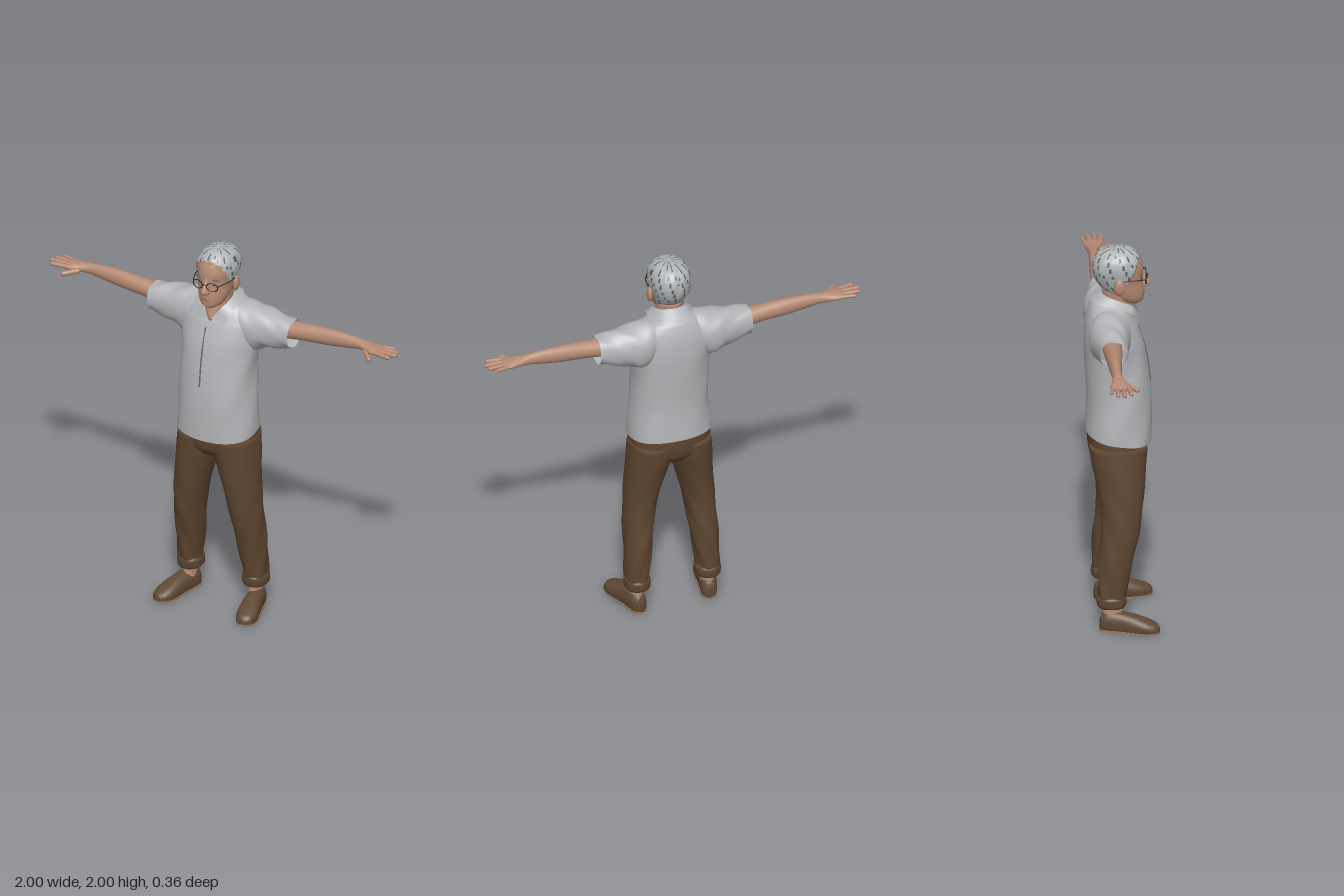
import * as THREE from 'three';

const V = (x, y, z) => new THREE.Vector3(x, y, z);
const paint = (name, color, side = THREE.FrontSide) => {
  const m = new THREE.MeshStandardMaterial({ color, side });
  m.name = name;
  return m;
};

// Axis order: lengthwise, first cross direction, second cross direction
const AXES = { y: [1, 0, 2], x: [0, 2, 1], z: [2, 1, 0] };

// Smooth skin through rows [t, aMin, aMax, bMin, bMax], t ascending.
// power < 1 squares the section; shape(p, angle) may move a point; pick(centre) chooses a material group.
function loft(axis, rows, { seg = 32, sub = 4, power = 1, caps = true, shape, pick } = {}) {
  const [T, A, B] = AXES[axis], pos = [], groups = [[], [], []];
  const at = i => rows[Math.max(0, Math.min(rows.length - 1, i))];
  const round = v => Math.sign(v) * Math.pow(Math.abs(v), power);
  const n = (rows.length - 1) * sub;
  for (let k = 0; k <= n; k++) {
    const i = Math.min(Math.floor(k / sub), rows.length - 2), f = k / sub - i;
    const r = at(i).map((p1, j) => {
      const p2 = at(i + 1)[j], m1 = (p2 - at(i - 1)[j]) / 2, m2 = (at(i + 2)[j] - p1) / 2;
      if (j === 0) return p1 + (p2 - p1) * f;
      const f2 = f * f, f3 = f2 * f;
      return (2 * f3 - 3 * f2 + 1) * p1 + (f3 - 2 * f2 + f) * m1 + (3 * f2 - 2 * f3) * p2 + (f3 - f2) * m2;
    });
    for (let s = 0; s < seg; s++) {
      const a = s / seg * Math.PI * 2, p = [0, 0, 0];
      p[T] = r[0];
      p[A] = (r[1] + r[2]) / 2 + (r[2] - r[1]) / 2 * round(Math.cos(a));
      p[B] = (r[3] + r[4]) / 2 + (r[4] - r[3]) / 2 * round(Math.sin(a));
      if (shape) shape(p, a);
      pos.push(...p);
    }
  }
  for (let k = 0; k < n; k++) for (let s = 0; s < seg; s++) {
    const a = k * seg + s, b = k * seg + (s + 1) % seg, c = a + seg, d = b + seg;
    const mid = [0, 1, 2].map(j => (pos[a * 3 + j] + pos[d * 3 + j]) / 2);
    groups[pick ? pick(mid, s) : 0].push(a, c, b, b, c, d);
  }
  if (caps) for (const k of [0, n]) {
    const c = pos.length / 3, mid = [0, 0, 0];
    for (let s = 0; s < seg; s++) for (let j = 0; j < 3; j++) mid[j] += pos[(k * seg + s) * 3 + j] / seg;
    pos.push(...mid);
    for (let s = 0; s < seg; s++) {
      const a = k * seg + s, b = k * seg + (s + 1) % seg;
      groups[k && pick ? 1 : 0].push(...(k ? [c, b, a] : [c, a, b]));
    }
  }
  const g = new THREE.BufferGeometry();
  g.setAttribute('position', new THREE.Float32BufferAttribute(pos, 3));
  g.setIndex(groups.flat());
  if (pick) groups.reduce((start, list, m) => (g.addGroup(start, list.length, m), start + list.length), 0);
  g.computeVertexNormals();
  return g;
}

function mirrored(geo) {
  const g = geo.clone().scale(-1, 1, 1), ix = g.index;
  for (let i = 0; i < ix.count; i += 3) {
    const a = ix.getX(i);
    ix.setX(i, ix.getX(i + 1));
    ix.setX(i + 1, a);
  }
  return g;
}

const sym = rows => rows.map(([y, w, back, front]) => [y, -w, w, back, front]);
const ball = (x, y, z, sx, sy, sz) => new THREE.SphereGeometry(1, 20, 14).scale(sx, sy, sz).translate(x, y, z);
const tube = (pts, r, n = 20) => new THREE.TubeGeometry(new THREE.CatmullRomCurve3(pts), n, r, 6);
function finger(a, b, r) {
  const d = b.clone().sub(a);
  const g = new THREE.CapsuleGeometry(r, d.length() - r, 4, 10);
  g.applyQuaternion(new THREE.Quaternion().setFromUnitVectors(V(0, 1, 0), d.normalize()));
  return g.translate((a.x + b.x) / 2, (a.y + b.y) / 2, (a.z + b.z) / 2);
}

export function createModel() {
  const root = new THREE.Group();
  root.name = 'standingMan';
  const skin = paint('skin', 0xb58a73), lipSkin = paint('lips', 0x94654f);
  const shirt = paint('shirt', 0xb4b5b8, THREE.DoubleSide), seam = paint('seam', 0x66676a);
  const cloth = paint('trousers', 0x5d4530), leather = paint('shoes', 0x5f4935), sole = paint('soles', 0x97785f);
  const hair = paint('hair', 0xb0b4b6), darkHair = paint('darkHair', 0x5e6163), frame = paint('glasses', 0x33291f);
  const add = (name, geo, mat) => {
    const m = new THREE.Mesh(geo, mat);
    m.name = name;
    root.add(m);
  };
  const pair = (name, geo, mat) => {
    add(name + 'Left', geo, mat);
    add(name + 'Right', mirrored(geo), mat);
  };

  // Shirt: body with a hem lower in front, and short open sleeves
  add('shirtBody', loft('y', sym([
    [0.995, 0.212, -0.172, 0.16], [1.06, 0.209, -0.17, 0.161], [1.2, 0.2, -0.165, 0.16],
    [1.35, 0.195, -0.172, 0.146], [1.45, 0.2, -0.177, 0.13], [1.52, 0.208, -0.178, 0.113],
    [1.6, 0.2, -0.172, 0.086], [1.65, 0.178, -0.16, 0.062], [1.69, 0.13, -0.145, 0.045], [1.715, 0.08, -0.125, 0.03],
  ]), {
    seg: 48, power: 0.88, caps: false,
    shape: (p, a) => {
      p[1] -= 0.15 * p[2] * Math.max(0, 1 - (p[1] - 0.995) / 0.1);
      p[0] += 0.003 * Math.sin(5 * a + 18 * p[1]);
    },
  }), shirt);
  pair('sleeve', loft('x', [
    [0.06, -0.12, 0.03, 1.5, 1.705], [0.14, -0.16, 0.045, 1.47, 1.702], [0.2, -0.166, 0.042, 1.455, 1.692],
    [0.25, -0.155, 0.03, 1.477, 1.684], [0.33, -0.137, 0.02, 1.495, 1.672], [0.405, -0.127, 0.013, 1.515, 1.66],
  ], { caps: false, power: 0.92, shape: (p, a) => { p[1] += 0.004 * Math.sin(4 * a + 45 * p[0]); } }), shirt);

  // Collar: ribbon folded around the neck, with two points in front
  const around = half => new THREE.CatmullRomCurve3(
    [...half, ...half.slice(0, -1).reverse().map(([x, y, z]) => [-x, y, z])].map(p => V(...p))).getPoints(48);
  const upper = around([[0.012, 1.638, 0.094], [0.06, 1.7, 0.062], [0.078, 1.733, 0], [0.06, 1.755, -0.065], [0, 1.762, -0.09]]);
  const lower = around([[0.08, 1.615, 0.094], [0.108, 1.675, 0.058], [0.115, 1.708, -0.01], [0.08, 1.722, -0.115], [0, 1.72, -0.14]]);
  const collar = new THREE.BufferGeometry().setFromPoints([...upper, ...lower]);
  const faces = [];
  for (let i = 0; i < 48; i++) faces.push(i, i + 1, i + 49, i + 1, i + 50, i + 49);
  collar.setIndex(faces);
  collar.computeVertexNormals();
  add('collar', collar, shirt);

  // Front seam and buttons
  add('placket', tube([V(-0.018, 1.58, 0.093), V(-0.018, 1.45, 0.13), V(-0.018, 1.35, 0.146), V(-0.018, 1.27, 0.155)], 0.004), seam);
  for (const [y, z] of [[1.52, 0.113], [1.4, 0.139], [1.28, 0.154], [1.16, 0.161], [1.05, 0.161]])
    add('button', ball(0, y, z, 0.006, 0.006, 0.004), shirt);

  // Trousers: seat, legs with soft folds, turned-up cuffs
  add('trouserSeat', loft('y', sym([
    [0.865, 0.1, -0.12, 0.1], [0.9, 0.19, -0.148, 0.126], [0.95, 0.207, -0.16, 0.135], [1.05, 0.2, -0.162, 0.142],
  ]), { power: 0.88 }), cloth);
  pair('trouserLeg', loft('y', [
    [0.14, 0.132, 0.244, -0.12, 0.015], [0.2, 0.128, 0.248, -0.123, 0.022], [0.3, 0.115, 0.247, -0.123, 0.04],
    [0.4, 0.103, 0.245, -0.118, 0.062], [0.5, 0.09, 0.241, -0.107, 0.085], [0.6, 0.072, 0.236, -0.103, 0.1],
    [0.7, 0.048, 0.229, -0.113, 0.112], [0.8, 0.02, 0.222, -0.13, 0.121], [0.87, 0.0, 0.217, -0.146, 0.127], [0.97, 0.0, 0.207, -0.158, 0.134],
  ], {
    power: 0.92,
    shape: (p, a) => {
      const w = 0.004 * Math.max(0, 1 - p[1]) * Math.sin(5 * a + 26 * p[1]);
      p[0] += w * Math.cos(a);
      p[2] += w * Math.sin(a);
    },
  }), cloth);
  pair('cuff', loft('y', [
    [0.128, 0.13, 0.246, -0.12, 0.014], [0.138, 0.123, 0.252, -0.127, 0.02],
    [0.175, 0.122, 0.252, -0.127, 0.022], [0.187, 0.13, 0.246, -0.12, 0.016],
  ], { power: 0.92 }), cloth);

  // Ankles and shoes, toes turned out
  pair('ankle', loft('y', [[0.05, 0.155, 0.222, -0.1, 0.01], [0.1, 0.158, 0.22, -0.095, 0], [0.16, 0.155, 0.222, -0.095, 0]]), skin);
  const place = g => g.rotateY(0.24).translate(0.215, 0, 0.035);
  const shoeRows = [[-0.15, 0.015, 0.06], [-0.14, 0.032, 0.088], [-0.11, 0.042, 0.102], [-0.04, 0.045, 0.1],
    [0.03, 0.052, 0.086], [0.09, 0.054, 0.066], [0.13, 0.042, 0.05], [0.147, 0.024, 0.036], [0.152, 0.008, 0.026]];
  const shoe = loft('z', shoeRows.map(([z, w, h]) => [z, -0.02, h, -w, w]),
    { power: 0.85, shape: p => { p[1] = Math.max(p[1], 0.004); } });
  pair('shoe', place(shoe), leather);
  const outline = new THREE.Shape(new THREE.SplineCurve([
    ...shoeRows.map(([z, w]) => new THREE.Vector2(w, z)),
    ...shoeRows.map(([z, w]) => new THREE.Vector2(-w, z)).reverse()]).getPoints(48));
  const soleGeo = new THREE.ExtrudeGeometry(outline, { depth: 0.009, bevelEnabled: false }).rotateX(Math.PI / 2).translate(0, 0.009, 0);
  soleGeo.setIndex([...Array(soleGeo.attributes.position.count).keys()]);
  pair('sole', place(soleGeo), sole);

  // Arms, palms and fingers
  pair('arm', loft('x', [
    [0.32, -0.112, -0.012, 1.55, 1.65], [0.42, -0.11, -0.018, 1.563, 1.655], [0.5, -0.105, -0.025, 1.57, 1.66],
    [0.6, -0.102, -0.034, 1.576, 1.665], [0.7, -0.097, -0.042, 1.588, 1.664], [0.77, -0.095, -0.044, 1.6, 1.658],
    [0.82, -0.102, -0.032, 1.603, 1.652], [0.87, -0.112, -0.014, 1.607, 1.647], [0.9, -0.11, -0.016, 1.614, 1.641], [0.91, -0.1, -0.03, 1.622, 1.636],
  ], { seg: 24 }), skin);
  for (const [name, z0, x1, z1, r] of [['index', -0.026, 0.975, -0.014, 0.0115], ['middle', -0.05, 0.995, -0.05, 0.0115],
    ['ring', -0.076, 0.985, -0.083, 0.011], ['little', -0.1, 0.955, -0.113, 0.0095]])
    pair(name + 'Finger', finger(V(0.88, 1.628, z0), V(x1, 1.628, z1), r), skin);
  pair('thumb', finger(V(0.825, 1.618, -0.035), V(0.888, 1.61, 0.026), 0.013), skin);

  // Neck, showing through the open collar
  add('neck', loft('y', sym([
    [1.6, 0.02, -0.04, 0.07], [1.63, 0.036, -0.06, 0.085], [1.67, 0.06, -0.075, 0.075], [1.72, 0.067, -0.08, 0.062], [1.78, 0.068, -0.085, 0.06],
  ])), skin);

  // Head, split along the hairline; the hair stands slightly proud and has dark streaks
  const hairline = z => z < -0.03 ? 1.77 : z < 0.035 ? 1.83 : 1.83 + (z - 0.035) * 2;
  add('head', loft('y', sym([
    [1.7, 0.03, 0.03, 0.1], [1.715, 0.052, -0.005, 0.118], [1.74, 0.068, -0.04, 0.123], [1.78, 0.079, -0.083, 0.124],
    [1.82, 0.086, -0.112, 0.119], [1.86, 0.094, -0.127, 0.119], [1.9, 0.098, -0.13, 0.117], [1.94, 0.091, -0.12, 0.105],
    [1.97, 0.072, -0.097, 0.08], [1.988, 0.045, -0.06, 0.05], [1.995, 0.012, -0.02, 0.012],
  ]), {
    seg: 64, sub: 5, power: 0.94,
    shape: (p, a) => {
      if (p[1] <= hairline(p[2])) return;
      const k = 1.05 + 0.015 * Math.sin(13 * a + 30 * p[1]);
      p[0] *= k;
      p[2] *= k;
      p[1] += 0.004;
    },
    pick: ([x, y, z], s) => y <= hairline(z) + 0.003 ? 0
      : Math.sin(s * 2.1 + y * 25) * Math.sin(s * 0.9 + y * 70) > 0.62 ? 2 : 1,
  }), [skin, hair, darkHair]);

  // Face
  add('nose', loft('y', sym([
    [1.782, 0.01, 0.1, 0.13], [1.79, 0.02, 0.1, 0.147], [1.803, 0.021, 0.1, 0.156], [1.82, 0.016, 0.1, 0.15],
    [1.85, 0.011, 0.1, 0.133], [1.875, 0.009, 0.1, 0.122],
  ]), { seg: 20 }), skin);
  add('chin', ball(0, 1.722, 0.1, 0.03, 0.017, 0.022), skin);
  add('lips', ball(0, 1.756, 0.119, 0.03, 0.007, 0.01), lipSkin);
  pair('ear', ball(0.102, 1.82, -0.006, 0.013, 0.041, 0.025), skin);
  pair('eyebrow', ball(0.04, 1.868, 0.109, 0.026, 0.005, 0.007).rotateY(0.08), darkHair);
  pair('eye', ball(0.038, 1.841, 0.106, 0.013, 0.006, 0.005), frame);

  // Glasses
  pair('lensRim', new THREE.TorusGeometry(0.028, 0.003, 6, 28).scale(1.05, 0.82, 1).rotateY(0.18).translate(0.041, 1.838, 0.131), frame);
  add('glassesBridge', tube([V(-0.013, 1.842, 0.137), V(0, 1.847, 0.142), V(0.013, 1.842, 0.137)], 0.003), frame);
  pair('glassesArm', tube([V(0.069, 1.845, 0.126), V(0.09, 1.85, 0.08), V(0.103, 1.852, 0)], 0.0028), frame);

  return root;
}
